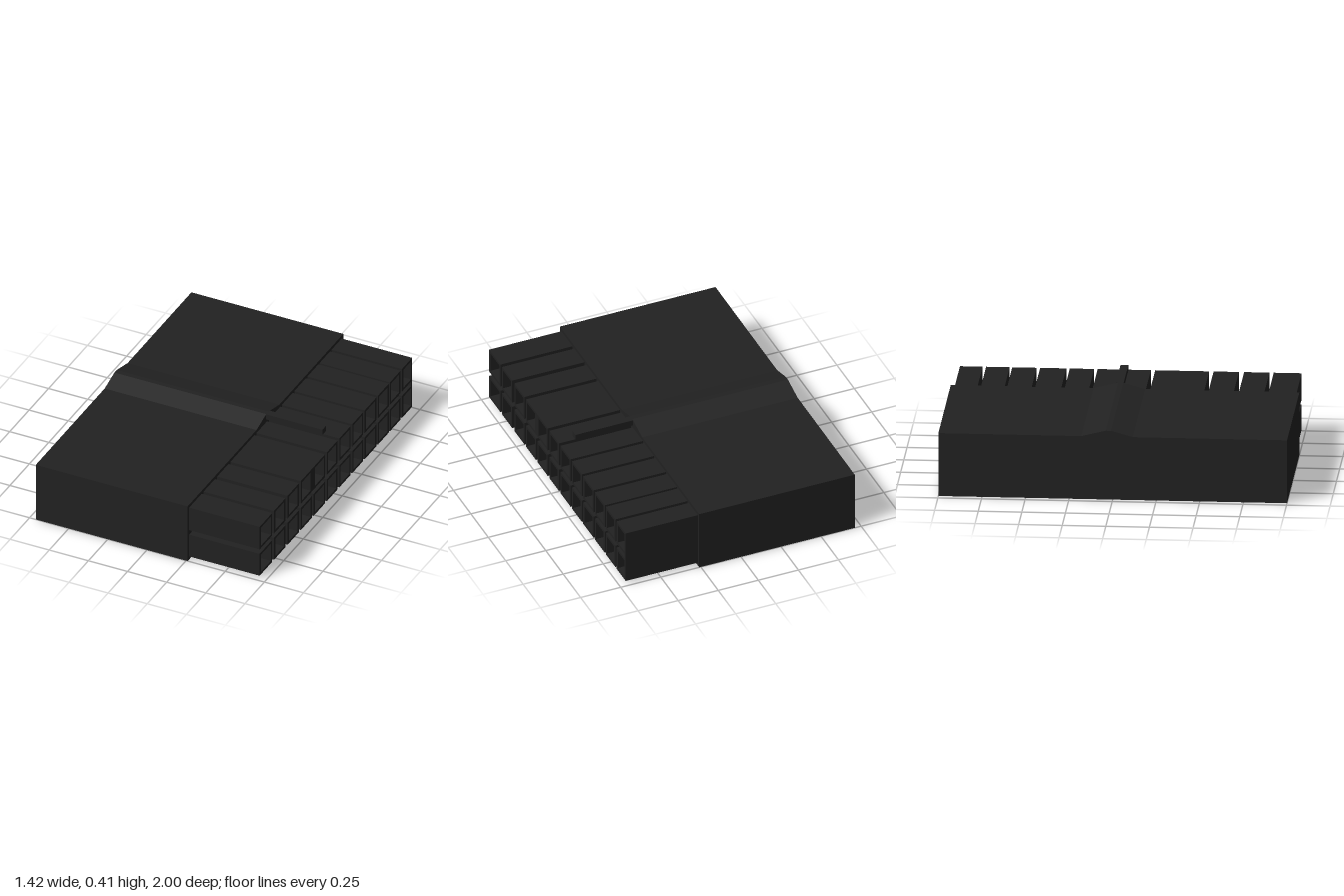
import * as THREE from 'three';

const black = new THREE.MeshStandardMaterial({ color: 0x222222 });
black.name = 'black plastic';

// Extrude a cross-section drawn in (-z, y) along +x from x0 to x1
function extrudeX(shape, x0, x1, name) {
  const geo = new THREE.ExtrudeGeometry(shape, { depth: x1 - x0, bevelEnabled: false });
  geo.rotateY(Math.PI / 2).translate(x0, 0, 0);
  const mesh = new THREE.Mesh(geo, black);
  mesh.name = name;
  return mesh;
}

function rectPoints(z0, z1, y0, y1) {
  return [[-z1, y0], [-z0, y0], [-z0, y1], [-z1, y1]].map(([a, b]) => new THREE.Vector2(a, b));
}

function box(x0, x1, y0, y1, z0, z1, name) {
  const mesh = new THREE.Mesh(new THREE.BoxGeometry(x1 - x0, y1 - y0, z1 - z0), black);
  mesh.position.set((x0 + x1) / 2, (y0 + y1) / 2, (z0 + z1) / 2);
  mesh.name = name;
  return mesh;
}

export function createModel() {
  const model = new THREE.Group();
  model.name = 'connectorHousing';

  // Main block with a low ridge across the top
  const profile = new THREE.Shape([
    [-1, 0], [1, 0], [1, 0.375], [0.18, 0.375], [0.04, 0.41], [0.01, 0.41], [-0.115, 0.375], [-1, 0.375],
  ].map(([a, b]) => new THREE.Vector2(a, b)));
  model.add(extrudeX(profile, -0.71, 0.26, 'body'));

  // Two rows of hollow square sockets, as z ranges from back to front
  const columns = [
    [-0.98, -0.85], [-0.83, -0.695], [-0.68, -0.54], [-0.52, -0.37], [-0.35, -0.21], [-0.19, -0.045],
    [-0.02, 0.115], [0.14, 0.285], [0.31, 0.45], [0.475, 0.62], [0.65, 0.795], [0.82, 0.98],
  ];
  const rows = [[0.02, 0.17], [0.2, 0.355]];
  const wall = 0.016;
  const sockets = new THREE.Group();
  sockets.name = 'sockets';
  for (const [z0, z1] of columns) {
    for (const [y0, y1] of rows) {
      const shape = new THREE.Shape(rectPoints(z0, z1, y0, y1));
      shape.holes.push(new THREE.Path(rectPoints(z0 + wall, z1 - wall, y0 + wall, y1 - wall).reverse()));
      sockets.add(extrudeX(shape, 0.26, 0.71, 'socket'));
    }
  }
  model.add(sockets);

  // Web closing the rear column, and web joining two neighbouring columns
  model.add(box(0.26, 0.71, 0.17, 0.2, -0.98, -0.965, 'rearWeb'));
  model.add(box(0.26, 0.71, 0.2, 0.355, 0.285, 0.31, 'joiningWeb'));

  // Latch tab reaching out over the sockets
  model.add(box(0.26, 0.62, 0.375, 0.41, -0.052, -0.008, 'latchTab'));
  return model;
}
